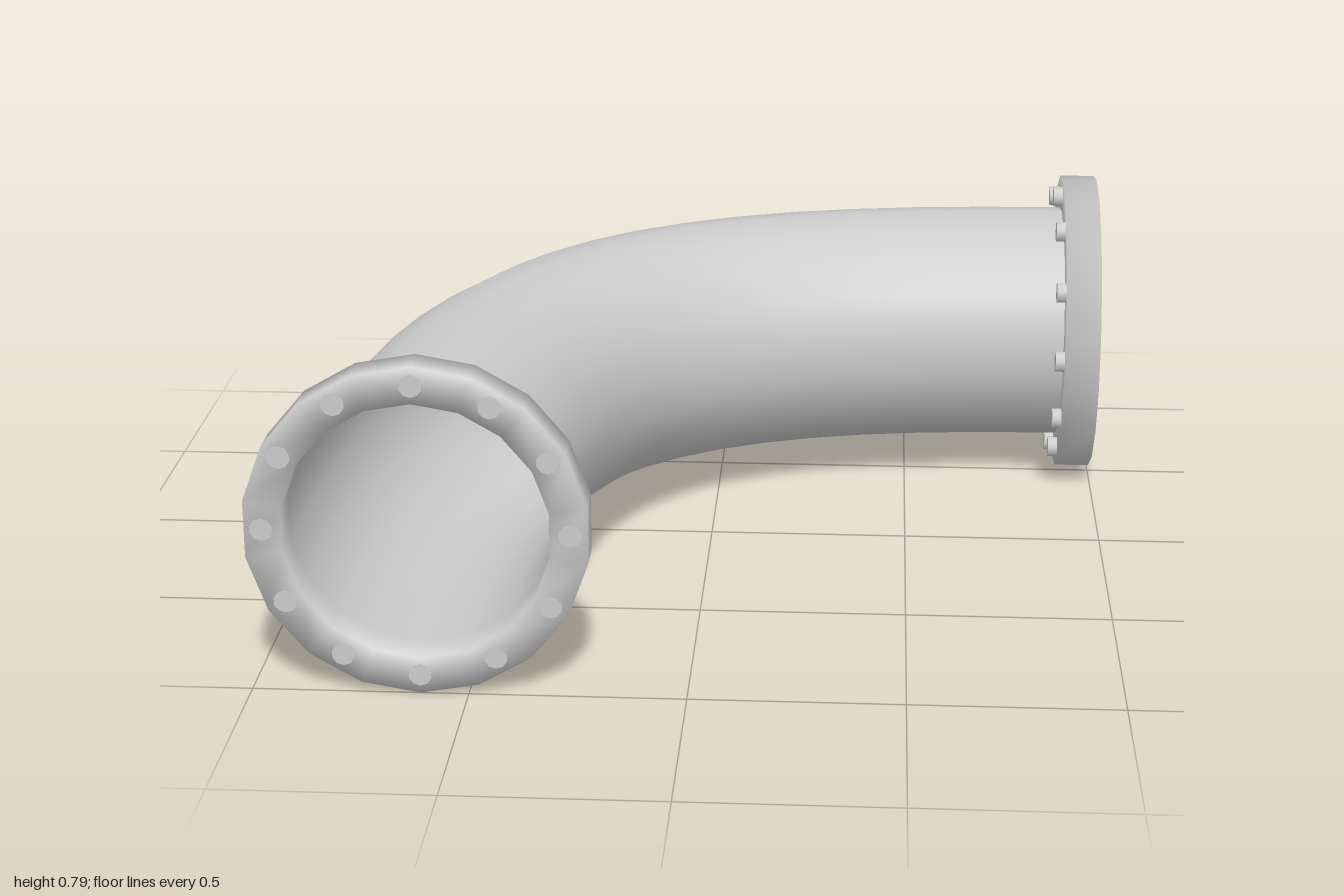
import * as THREE from 'three';

const SIDES = 18;
const FLANGE_R = 0.395, PIPE_R = 0.308, FLANGE_DEPTH = 0.09;
const OFFSET = -0.611; // sideways position of each pipe end
const MOUTH = 1 - FLANGE_DEPTH;
const BOLTS = 12, BOLT_RING_R = 0.35, BOLT_R = 0.027;

const material = new THREE.MeshStandardMaterial({ color: 0xcccccc, side: THREE.DoubleSide });

function addMesh(parent, name, geometry) {
  const mesh = new THREE.Mesh(geometry, material);
  mesh.name = name;
  parent.add(mesh);
  return mesh;
}

// Open cylinder swept along a curve lying in the horizontal plane
function bentPipeGeometry(curve, radius) {
  const geometry = new THREE.CylinderGeometry(radius, radius, 1, SIDES, 16, true);
  const position = geometry.attributes.position;
  const normal = geometry.attributes.normal;
  const up = new THREE.Vector3(0, 1, 0);
  for (let i = 0; i < position.count; i++) {
    const t = THREE.MathUtils.clamp(position.getY(i) + 0.5, 0, 1);
    const side = curve.getTangent(t).cross(up).normalize();
    const radial = side.multiplyScalar(position.getX(i) / radius)
      .addScaledVector(up, position.getZ(i) / radius);
    const p = curve.getPoint(t).addScaledVector(radial, radius);
    position.setXYZ(i, p.x, p.y, p.z);
    normal.setXYZ(i, radial.x, radial.y, radial.z);
  }
  return geometry;
}

// Ring with a ring of bolts, facing +z, back face at z = 0
function createFlange(name) {
  const flange = new THREE.Group();
  flange.name = name;

  const profile = [
    [PIPE_R, 0], [FLANGE_R, 0], [FLANGE_R, FLANGE_DEPTH], [PIPE_R, FLANGE_DEPTH], [PIPE_R, 0],
  ].map(([r, y]) => new THREE.Vector2(r, y));
  addMesh(flange, name + 'Ring', new THREE.LatheGeometry(profile, SIDES).rotateX(Math.PI / 2));

  // Bolts run through the ring, heads standing proud at the back
  const back = -0.024, front = FLANGE_DEPTH + 0.0005;
  const boltGeometry = new THREE.CylinderGeometry(BOLT_R, BOLT_R, front - back, 10).rotateX(Math.PI / 2);
  for (let i = 0; i < BOLTS; i++) {
    const a = (i / BOLTS) * Math.PI * 2;
    addMesh(flange, name + 'Bolt' + (i + 1), boltGeometry)
      .position.set(Math.cos(a) * BOLT_RING_R, Math.sin(a) * BOLT_RING_R, (front + back) / 2);
  }
  return flange;
}

export function createModel() {
  const model = new THREE.Group();
  model.name = 'pipeElbow';

  // Quarter bend from the front mouth to the left mouth
  const bend = new THREE.CubicBezierCurve3(
    new THREE.Vector3(OFFSET, FLANGE_R, MOUTH),
    new THREE.Vector3(OFFSET, FLANGE_R, -0.18),
    new THREE.Vector3(-0.18, FLANGE_R, OFFSET),
    new THREE.Vector3(MOUTH, FLANGE_R, OFFSET),
  );
  addMesh(model, 'bentPipe', bentPipeGeometry(bend, PIPE_R));

  const frontFlange = createFlange('frontFlange');
  frontFlange.position.set(OFFSET, FLANGE_R, MOUTH);
  model.add(frontFlange);

  const leftFlange = createFlange('leftFlange');
  leftFlange.position.set(MOUTH, FLANGE_R, OFFSET);
  leftFlange.rotation.y = Math.PI / 2;
  model.add(leftFlange);

  return model;
}
